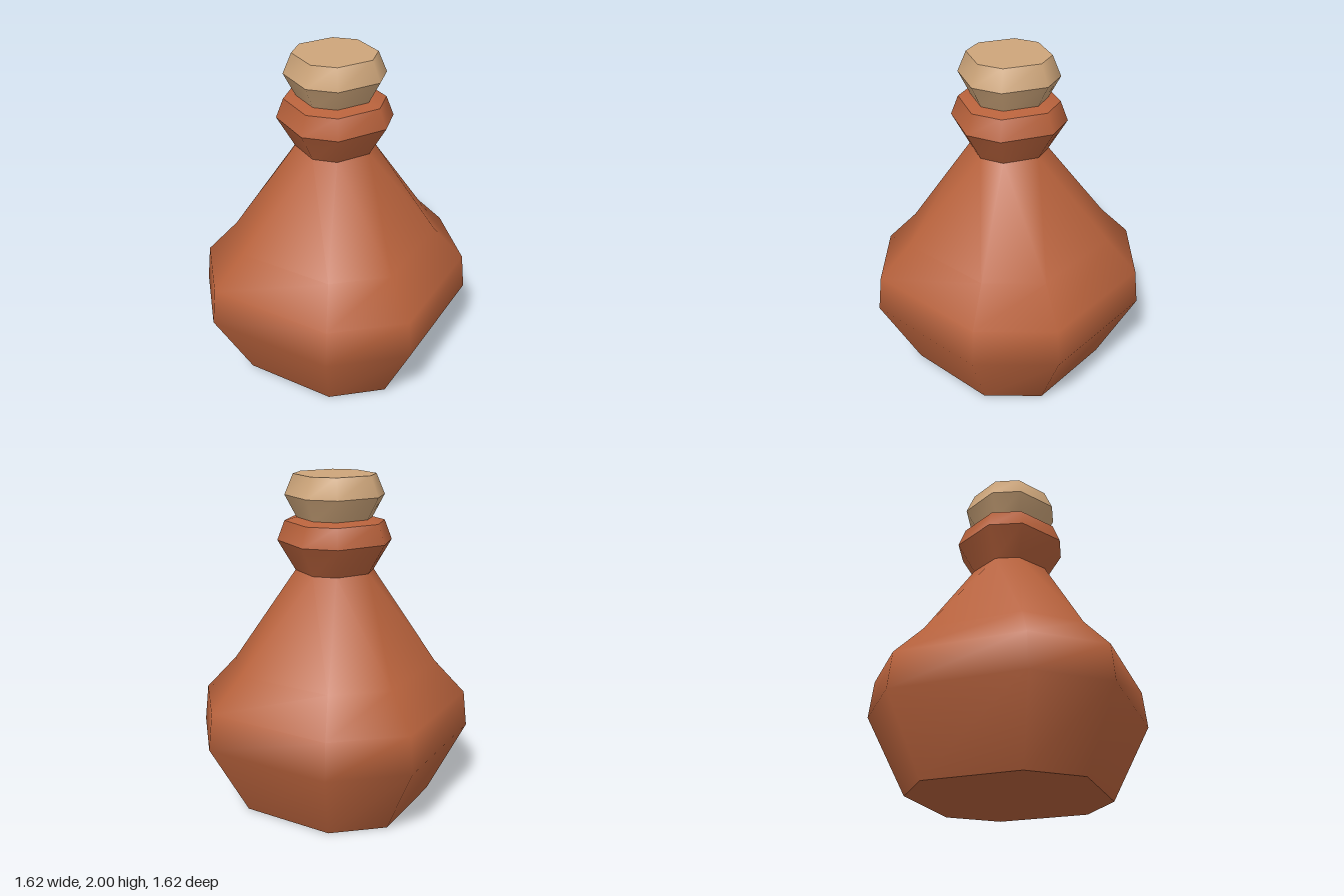
import * as THREE from 'three';

// Two neighbouring corners; quarter turns give the full eight-sided outline
const BODY = [[0.6, -0.6], [0.81, -0.16]];
const NECK = [[1, -0.325], [1, 0.325]];

function ring(pair, scale, y) {
  const points = [];
  for (let q = 0; q < 4; q++) {
    for (let [x, z] of pair) {
      for (let k = 0; k < q; k++) [x, z] = [-z, x];
      points.push([x * scale, y, z * scale]);
    }
  }
  return points;
}

function geometryFrom(points, index) {
  const g = new THREE.BufferGeometry();
  g.setAttribute('position', new THREE.Float32BufferAttribute(points.flat(), 3));
  g.setIndex(index);
  g.computeVertexNormals();
  return g;
}

// Smooth skin through rings stacked from bottom to top
function loft(rings) {
  const index = [];
  for (let r = 0; r < rings.length - 1; r++) {
    for (let i = 0; i < 8; i++) {
      const j = (i + 1) % 8;
      const a = r * 8 + i, a2 = r * 8 + j;
      index.push(a, a + 8, a2, a2, a + 8, a2 + 8);
    }
  }
  return geometryFrom(rings.flat(), index);
}

// Flat lid facing up or down
function cap(points, up) {
  const index = [];
  for (let i = 1; i < 7; i++) index.push(0, ...(up ? [i + 1, i] : [i, i + 1]));
  return geometryFrom(points, index);
}

export function createModel() {
  const clay = new THREE.MeshStandardMaterial({ color: 0xb8623c });
  clay.name = 'clay';
  const corkMat = new THREE.MeshStandardMaterial({ color: 0xcda57a });
  corkMat.name = 'cork';

  const model = new THREE.Group();
  model.name = 'flask';
  const add = (name, geometry, material) => {
    const mesh = new THREE.Mesh(geometry, material);
    mesh.name = name;
    model.add(mesh);
  };

  // Twisted belly rising to the narrow neck
  const base = ring(BODY, 0.72, 0);
  const neck = ring(NECK, 0.222, 1.435);
  add('body', loft([base, ring(BODY, 1, 0.45), ring(BODY, 0.97, 0.67),
    ring(BODY, 0.745, 0.87), neck]), clay);
  add('base', cap(base, false), clay);

  // Collar around the mouth, one crisp band at a time
  const collar = [neck, ring(NECK, 0.322, 1.615), ring(NECK, 0.28, 1.73), ring(NECK, 0.21, 1.75)];
  for (let i = 0; i < 3; i++) add('collarBand' + (i + 1), loft([collar[i], collar[i + 1]]), clay);

  // Stopper
  const stopper = [ring(NECK, 0.21, 1.745), ring(NECK, 0.278, 1.88), ring(NECK, 0.23, 2)];
  add('stopperLower', loft([stopper[0], stopper[1]]), corkMat);
  add('stopperUpper', loft([stopper[1], stopper[2]]), corkMat);
  add('stopperTop', cap(stopper[2], true), corkMat);

  return model;
}
